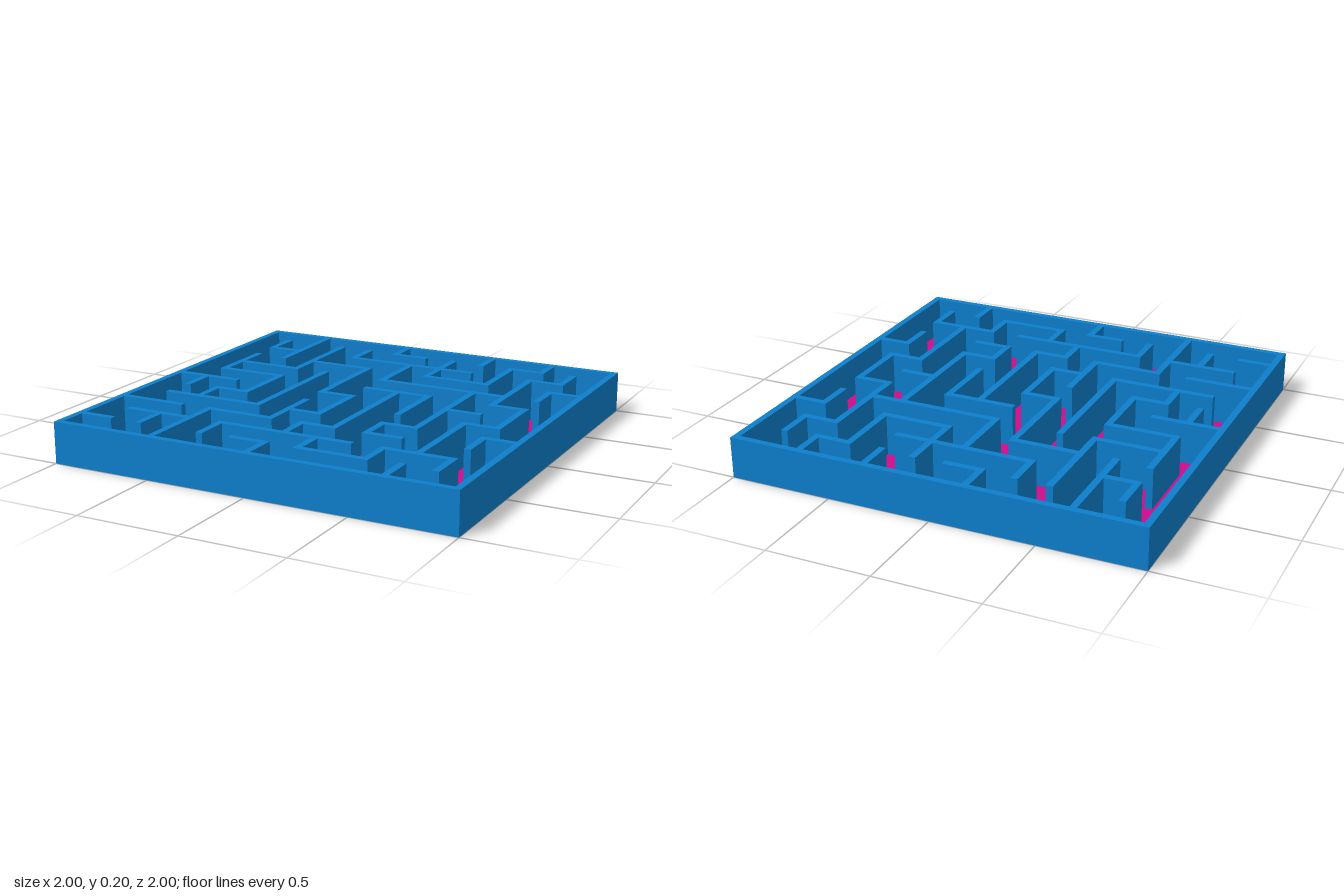
import * as THREE from 'three';

const CELLS = 12, T = 0.0328, H = 0.2;
const PITCH = (2 - T) / CELLS;
const at = (i) => (i - CELLS / 2) * PITCH;

// Wall runs on each inner grid line 1..11, as "start-end" in grid steps
const ALONG_Z = [ // lines of constant x
  '1-2 3-5 6-7', '0-3 7-8 10-11', '1-4 5-7 9-12', '1-2 4-8 10-11',
  '0-1 3-6 7-9', '2-4 6-8 9-10 11-12', '1-3 5-9 10-11', '0-1 5-7 8-9',
  '1-3 4-8 10-11', '0-1 2-5 7-10 11-12', '1-2 3-4 5-7 8-9 10-11',
];
const ALONG_X = [ // lines of constant z
  '5-6 9-10', '1-2 4-8 10-11', '3-5 7-9 11-12', '1-3 6-10',
  '1-3 6-8 10-11', '0-2 5-6 9-10', '2-3 10-11', '1-4 5-6 8-9 11-12',
  '0-2 3-5 6-7 8-9', '1-3 4-8 9-11', '0-1 5-6 7-9',
];

export function createModel() {
  const model = new THREE.Group();
  model.name = 'maze';
  const wallMat = new THREE.MeshStandardMaterial({ color: 0x0d7fcc });
  const floorMat = new THREE.MeshStandardMaterial({ color: 0xcc0d8a });

  // One straight wall on a grid line, its ends reaching half a thickness past the nodes
  function addWall(parent, name, line, start, end, alongX) {
    const length = (end - start) * PITCH + T;
    const mid = at((start + end) / 2);
    const wall = new THREE.Mesh(
      new THREE.BoxGeometry(alongX ? length : T, H, alongX ? T : length), wallMat);
    wall.position.set(alongX ? mid : at(line), H / 2, alongX ? at(line) : mid);
    wall.name = name;
    parent.add(wall);
  }

  // Thin floor sheet between the outer walls
  const inner = 2 - 2 * T;
  const floor = new THREE.Mesh(new THREE.BoxGeometry(inner, 0.002, inner), floorMat);
  floor.position.y = 0.002;
  floor.name = 'floor';
  model.add(floor);

  // Outer frame
  const frame = new THREE.Group();
  frame.name = 'outerFrame';
  for (const line of [0, CELLS]) {
    for (const alongX of [true, false]) addWall(frame, 'outerWall', line, 0, CELLS, alongX);
  }
  model.add(frame);

  // Inner maze walls
  const walls = new THREE.Group();
  walls.name = 'innerWalls';
  for (const [rows, alongX] of [[ALONG_Z, false], [ALONG_X, true]]) {
    rows.forEach((row, i) => {
      for (const run of row.split(' ')) {
        const [start, end] = run.split('-').map(Number);
        addWall(walls, 'innerWall', i + 1, start, end, alongX);
      }
    });
  }
  model.add(walls);
  return model;
}
